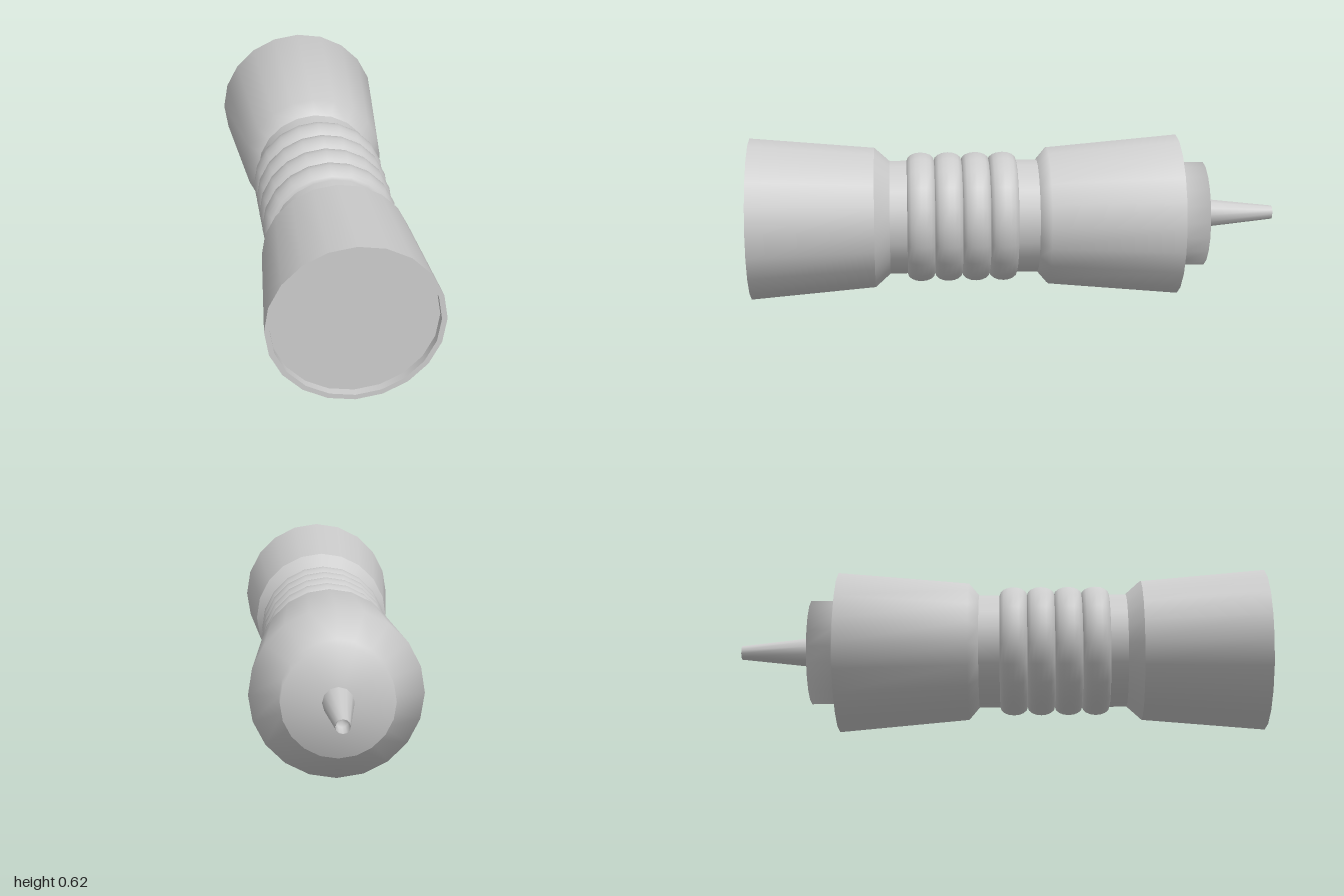
import * as THREE from 'three';

const SIDES = 20;
const AXIS_Y = 0.308;

export function createModel() {
  const model = new THREE.Group();
  const material = new THREE.MeshStandardMaterial({ color: 0xcccccc, side: THREE.DoubleSide });

  // Turned part along z; profile is [radius, z], listed from back to front
  function turned(name, profile, sides = SIDES) {
    const points = profile.map(([r, z]) => new THREE.Vector2(r, z));
    const geometry = new THREE.LatheGeometry(points, sides);
    geometry.rotateX(Math.PI / 2);
    const mesh = new THREE.Mesh(geometry, material);
    mesh.name = name;
    mesh.position.y = AXIS_Y;
    model.add(mesh);
  }

  // Front cup, with crisp edges between its bands
  turned('frontCup', [[0.268, 0.532], [0.308, 1]]);
  turned('frontChamfer', [[0.217, 0.475], [0.268, 0.532]]);
  turned('frontRim', [[0.308, 1], [0.289, 1]]);
  turned('frontRecessWall', [[0.289, 1], [0.289, 0.97]]);
  turned('frontPlate', [[0.289, 0.97], [0, 0.97]]);

  // Narrow grip core
  turned('neck', [[0.217, -0.085], [0.217, 0.475]]);

  // Four rounded grip rings
  const pitch = 0.104;
  for (let i = 0; i < 4; i++) {
    const center = 0.046 + i * pitch;
    const profile = [];
    for (let k = 0; k <= 8; k++) {
      const a = (k / 8) * Math.PI;
      profile.push([0.217 + 0.031 * Math.sin(a), center - (pitch / 2) * Math.cos(a)]);
    }
    turned('gripRing' + (i + 1), profile);
  }

  // Back cup and collar, softly shaded as one shell
  turned('backCup', [
    [0, -0.728], [0.2, -0.728], [0.2, -0.637],
    [0.308, -0.62], [0.264, -0.125], [0.217, -0.085],
  ]);

  // Hollow tapered spike
  turned('spikeBore', [[0, -0.94], [0.022, -0.94], [0.024, -1]], 12);
  turned('spike', [[0.026, -1], [0.056, -0.728]], 12);

  return model;
}
